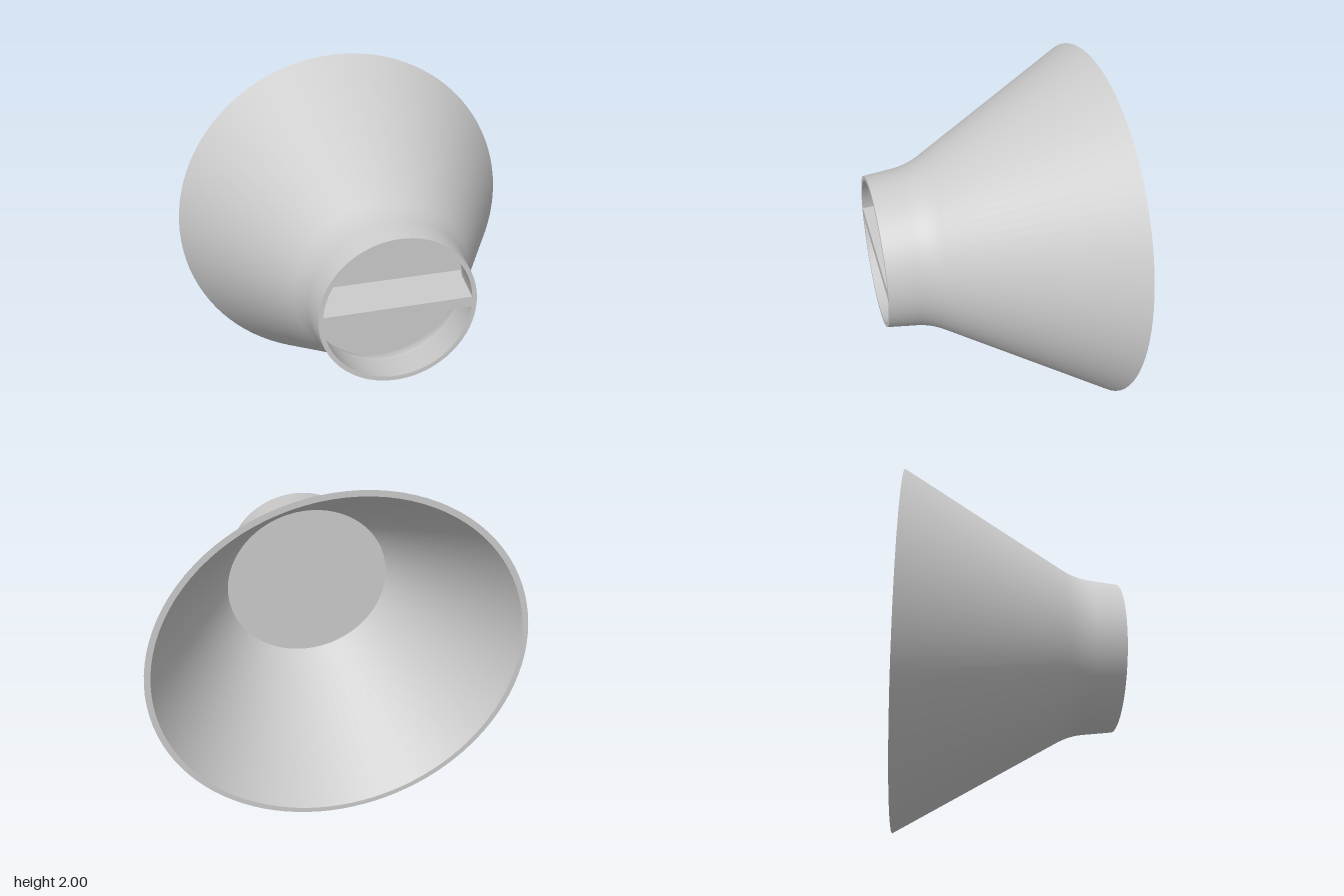
import * as THREE from 'three';
import { toCreasedNormals } from 'three/addons/utils/BufferGeometryUtils.js';

const SEGMENTS = 96;
const BACK = -0.6, FRONT = 0.6;

export function createModel() {
  const model = new THREE.Group();
  const material = new THREE.MeshStandardMaterial({ color: 0xcccccc });
  const add = (name, geometry) => {
    const mesh = new THREE.Mesh(geometry, material);
    mesh.name = name;
    mesh.position.y = 1;
    model.add(mesh);
  };

  // Outer profile (radius, z): straight cone, soft bend, slightly tapered collar
  const bend = new THREE.QuadraticBezierCurve(
    new THREE.Vector2(0.492, 0.28),
    new THREE.Vector2(0.446, 0.36),
    new THREE.Vector2(0.438, 0.44));
  const outer = [
    new THREE.Vector2(1, BACK),
    ...bend.getPoints(10),
    new THREE.Vector2(0.42, FRONT)];

  // Inner profile: same curve moved inwards by the wall thickness
  const wall = (z) => (z < 0 ? 0.032 : z < 0.4 ? 0.029 : 0.025);
  const inner = outer.map((p) => new THREE.Vector2(p.x - wall(p.y), p.y)).reverse();

  // Hollow flared shell, closed at both rims
  const shell = new THREE.LatheGeometry([...outer, ...inner, outer[0].clone()], SEGMENTS);
  shell.rotateX(Math.PI / 2);
  add('flaredShell', toCreasedNormals(shell, 0.5));

  // Dividing wall between the collar and the cone, its edge buried in the shell
  const disc = new THREE.CylinderGeometry(0.452, 0.488, 0.06, SEGMENTS);
  disc.rotateX(Math.PI / 2);
  disc.translate(0, 0, 0.29);
  add('dividingWall', disc);

  // Grip bar across the collar, following the taper of its inside wall
  const plan = new THREE.Shape([
    new THREE.Vector2(-0.398, FRONT),
    new THREE.Vector2(-0.435, 0.31),
    new THREE.Vector2(0.435, 0.31),
    new THREE.Vector2(0.398, FRONT)]);
  const bar = new THREE.ExtrudeGeometry(plan, { depth: 0.06, bevelEnabled: false });
  bar.translate(0, 0, -0.03);
  bar.rotateX(Math.PI / 2);
  add('gripBar', bar);

  return model;
}
